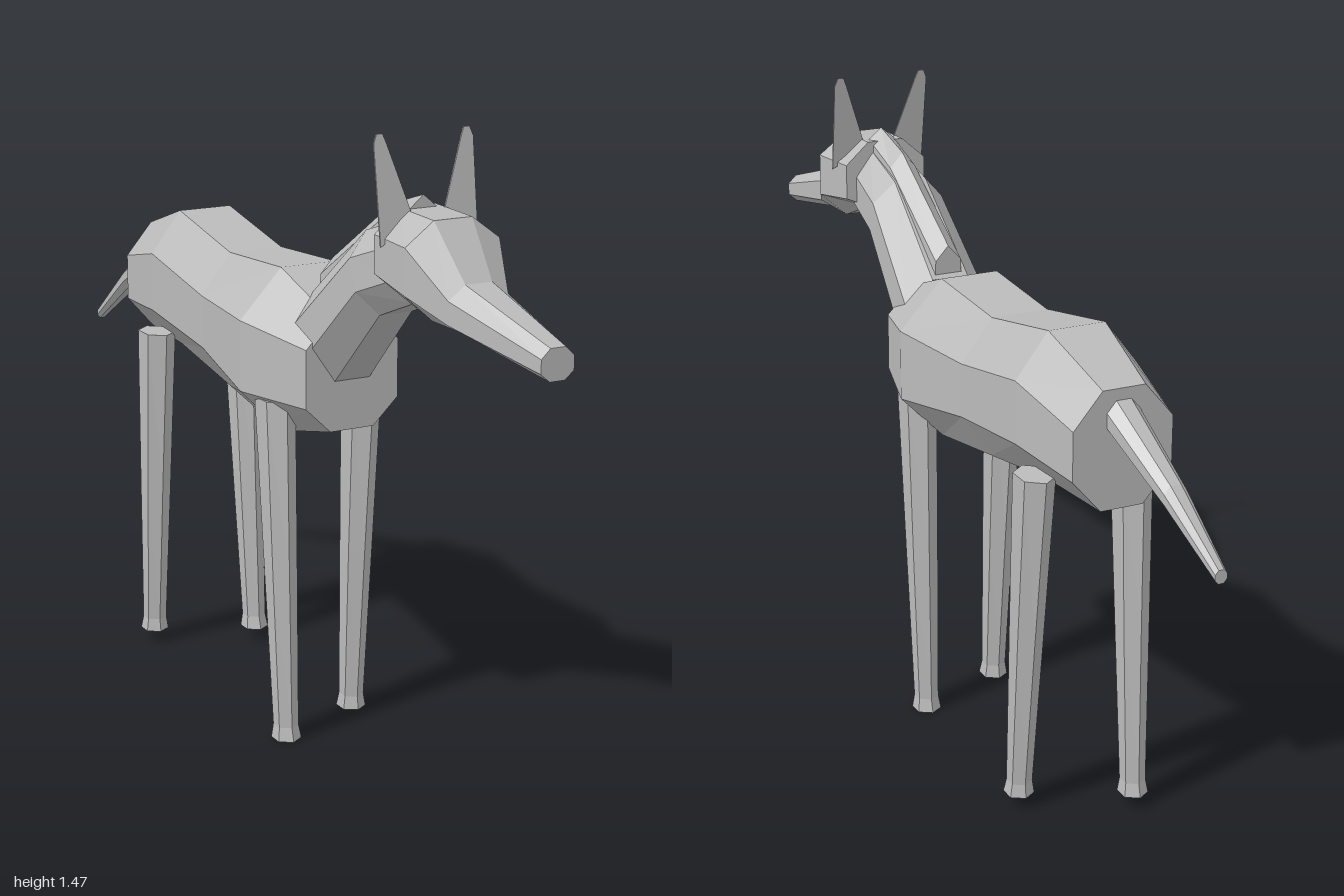
import * as THREE from 'three';

const coat = new THREE.MeshStandardMaterial({ color: 0xbbbbbb });
coat.name = 'greyCoat';

// Faceted skin over a list of rings (each a list of [x, y, z]), closed at both ends.
function loft(name, rings) {
  const tris = [];
  const n = rings[0].length;
  for (let r = 0; r < rings.length - 1; r++) {
    for (let i = 0; i < n; i++) {
      const j = (i + 1) % n;
      const a = rings[r][i], b = rings[r][j], c = rings[r + 1][j], d = rings[r + 1][i];
      tris.push([a, b, c], [a, c, d]);
    }
  }
  const first = rings[0], last = rings[rings.length - 1];
  for (let i = 1; i < n - 1; i++) {
    tris.push([first[0], first[i + 1], first[i]], [last[0], last[i], last[i + 1]]);
  }
  // Turn the faces outward whichever way the rings run
  let volume = 0;
  for (const [a, b, c] of tris) {
    volume += new THREE.Vector3(...a).dot(new THREE.Vector3(...b).cross(new THREE.Vector3(...c)));
  }
  const points = tris.flatMap(([a, b, c]) => (volume < 0 ? [a, c, b] : [a, b, c])).flat();
  const geometry = new THREE.BufferGeometry();
  geometry.setAttribute('position', new THREE.Float32BufferAttribute(points, 3));
  geometry.computeVertexNormals();
  const mesh = new THREE.Mesh(geometry, coat);
  mesh.name = name;
  return mesh;
}

// Eight-sided section between a bottom and a top point [z, y]; lo and hi place the side corners.
function section(cx, halfWidth, flat, bottom, top, lo = 0.3, hi = 0.7) {
  const at = (x, t) => [
    cx + x,
    THREE.MathUtils.lerp(bottom[1], top[1], t),
    THREE.MathUtils.lerp(bottom[0], top[0], t),
  ];
  const w = halfWidth, f = flat;
  return [at(-f, 0), at(f, 0), at(w, lo), at(w, hi), at(f, 1), at(-f, 1), at(-w, hi), at(-w, lo)];
}

// Upright section with the heights of its four corner levels.
function upright(z, cx, halfWidth, flat, y0, y1, y2, y3) {
  const h = y3 - y0;
  return section(cx, halfWidth, flat, [z, y0], [z, y3], (y1 - y0) / h, (y2 - y0) / h);
}

// Six-sided leg with a slightly flared hoof.
function leg(name, x, topY, topZ, footY, footZ) {
  const levels = [
    [1, 0.04, 0.058], [0.5, 0.034, 0.042], [0.04, 0.027, 0.03], [0, 0.032, 0.037],
  ];
  return loft(name, levels.map(([t, rx, rz]) => {
    const y = THREE.MathUtils.lerp(footY, topY, t);
    const z = THREE.MathUtils.lerp(footZ, topZ, t);
    return Array.from({ length: 6 }, (_, i) => {
      const a = (i * Math.PI) / 3;
      return [x + rx * Math.sin(a) / 0.93, y, z + rz * Math.cos(a)];
    });
  }));
}

// Flat upright ear, leaning back toward its tip.
function ear(name, side) {
  const outline = [[0.035, 1.29], [0.118, 1.24], [0.12, 1.45], [0.112, 1.47], [0.098, 1.47], [0.09, 1.45]];
  const ring = (dz) => outline.map(([x, y]) => [0.012 + side * x, y, 0.56 - (y - 1.26) * 0.14 + dz]);
  return loft(name, [ring(-0.002), ring(0.002)]);
}

export function createModel() {
  const model = new THREE.Group();
  model.name = 'animal';

  // Barrel of the body, chest to rump
  model.add(loft('body', [
    upright(0.265, 0, 0.117, 0.055, 0.76, 0.82, 0.955, 1.02),
    upright(0.06, 0, 0.175, 0.07, 0.713, 0.82, 0.985, 1.097),
    upright(-0.2, 0, 0.143, 0.068, 0.755, 0.86, 0.985, 1.082),
    upright(-0.47, 0, 0.145, 0.068, 0.80, 0.893, 1.035, 1.135),
    upright(-0.68, 0, 0.117, 0.05, 0.80, 0.877, 0.988, 1.067),
  ]));

  // Neck rising forward from the chest
  model.add(loft('neck', [
    section(0, 0.105, 0.045, [0.24, 0.85], [0.165, 1.06]),
    section(0, 0.09, 0.04, [0.45, 1.065], [0.39, 1.24]),
    section(0.008, 0.078, 0.035, [0.57, 1.115], [0.535, 1.29]),
  ]));

  // Ridged mane along the back of the neck
  const maneRing = (cx, z, base, shoulder, peak) => [
    [cx - 0.035, base, z], [cx + 0.035, base, z], [cx + 0.032, shoulder, z],
    [cx, peak, z], [cx - 0.032, shoulder, z],
  ];
  model.add(loft('mane', [
    maneRing(0, 0.175, 1.04, 1.1, 1.135),
    maneRing(0.004, 0.425, 1.22, 1.265, 1.3),
    maneRing(0.01, 0.54, 1.26, 1.31, 1.337),
  ]));

  // Head tapering to a long snout, turned slightly to its left
  model.add(loft('head', [
    upright(0.515, 0.01, 0.103, 0.045, 1.15, 1.175, 1.258, 1.31),
    upright(0.65, 0.014, 0.114, 0.046, 1.095, 1.155, 1.255, 1.305),
    upright(0.75, 0.015, 0.072, 0.032, 1.088, 1.11, 1.16, 1.19),
    upright(1.0, 0.04, 0.039, 0.018, 1.042, 1.06, 1.09, 1.11),
  ]));
  model.add(ear('leftEar', 1), ear('rightEar', -1));

  // Legs in a walking stance
  model.add(
    leg('frontLeftLeg', 0.112, 0.812, 0.11, 0, 0.072),
    leg('frontRightLeg', -0.115, 0.812, 0.115, 0, 0.167),
    leg('hindLeftLeg', 0.115, 0.83, -0.503, 0.03, -0.44),
    leg('hindRightLeg', -0.118, 0.83, -0.508, 0.03, -0.55),
  );

  // Tail hanging back and a little to the right
  const tailRing = (z, cx, w, bottom, top) => section(cx, w, w * 0.45, [z, bottom], [z, top]);
  model.add(loft('tail', [
    tailRing(-0.66, 0.003, 0.04, 0.97, 1.055),
    tailRing(-0.86, -0.022, 0.027, 0.86, 0.915),
    tailRing(-1.0, -0.05, 0.014, 0.75, 0.78),
  ]));

  return model;
}
